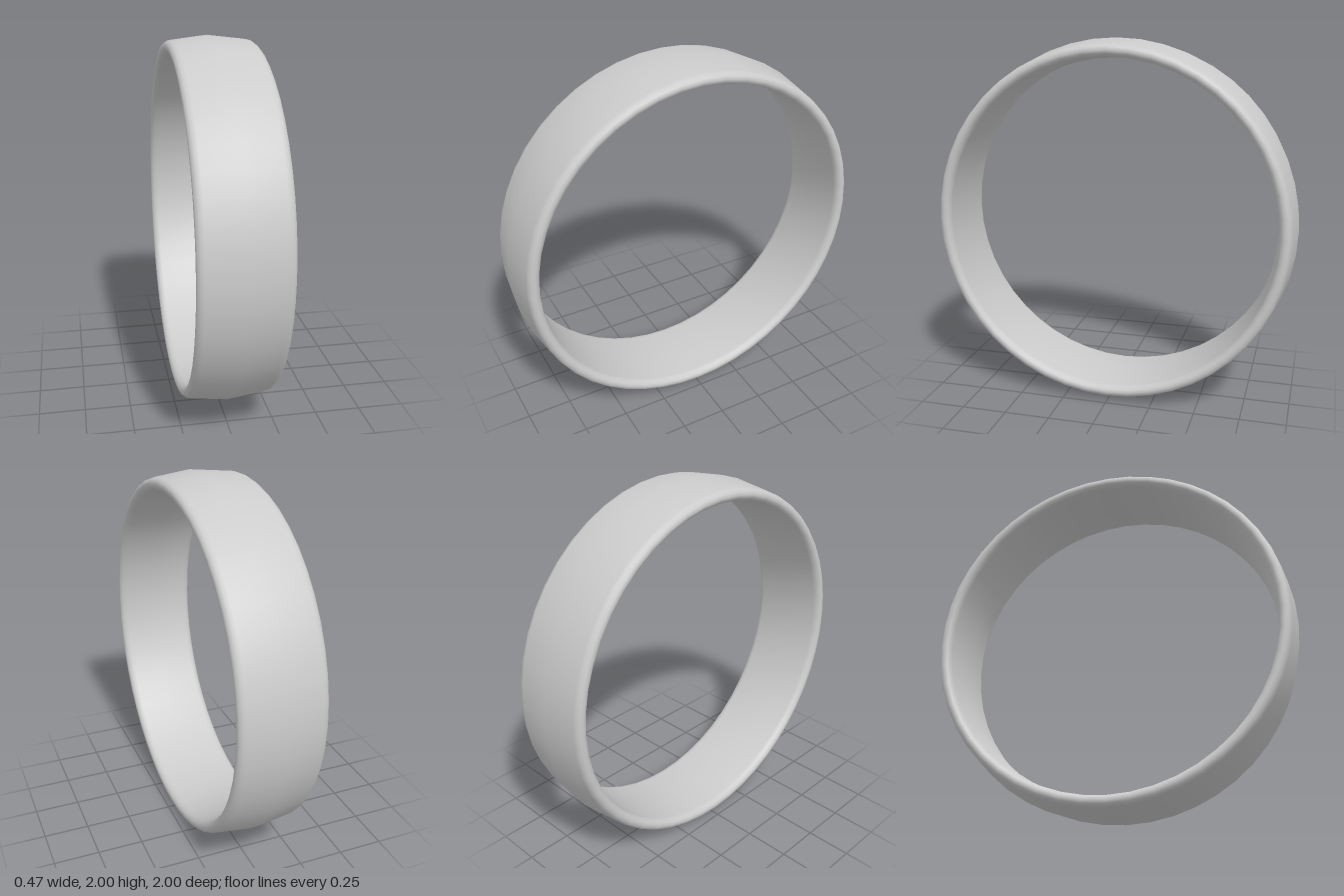
import * as THREE from 'three';
import { mergeVertices } from 'three/addons/utils/BufferGeometryUtils.js';

export function createModel() {
  const group = new THREE.Group();
  group.name = 'ring';

  // half of the band's cross-section, [radius, offset along the axis],
  // from the outer ridge round the soft rim to the inner ridge
  const half = [
    [1, 0], [0.977, 0.195], [0.972, 0.215], [0.96, 0.229], [0.943, 0.234],
    [0.927, 0.229], [0.915, 0.215], [0.91, 0.195], [0.896, 0],
  ];
  // mirrored to a closed loop that starts and ends on the inner ridge
  const mirrored = half.slice(1).reverse().map(([r, a]) => [r, -a]);
  const loop = [...mirrored, ...half].map(([r, a]) => new THREE.Vector2(r, a));

  // weld both seams so that the shading is smooth all the way round
  let geometry = new THREE.LatheGeometry(loop, 48);
  geometry.deleteAttribute('uv');
  geometry.deleteAttribute('normal');
  geometry = mergeVertices(geometry, 1e-4);
  geometry.computeVertexNormals();
  geometry.rotateZ(Math.PI / 2);

  const band = new THREE.Mesh(
    geometry,
    new THREE.MeshStandardMaterial({ color: 0xcccccc })
  );
  band.name = 'band';
  band.position.y = 1;
  group.add(band);
  return group;
}
